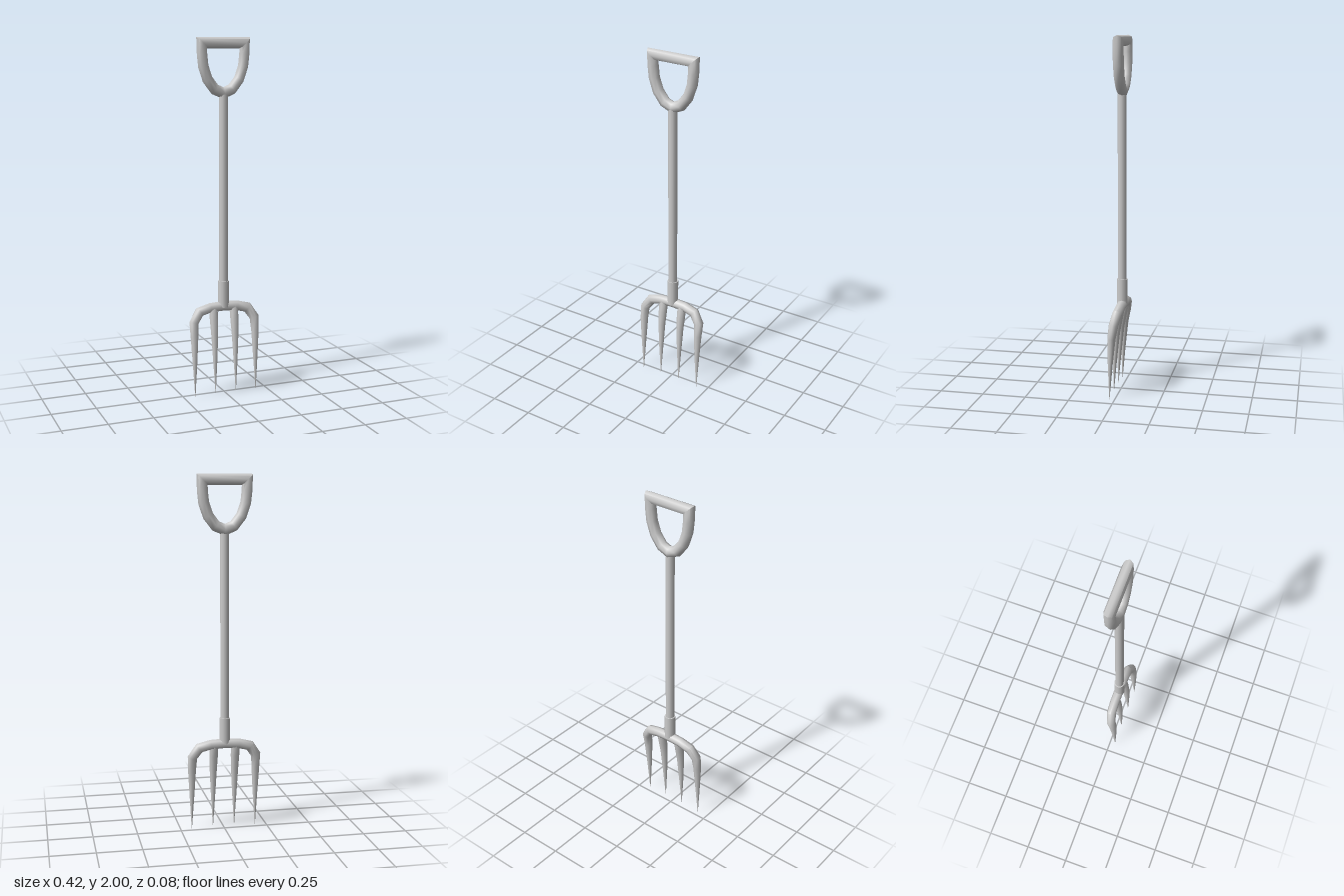
import * as THREE from 'three';
import { toCreasedNormals } from 'three/addons/utils/BufferGeometryUtils.js';

const SIDES = 8;
const material = new THREE.MeshStandardMaterial({ color: 0xcccccc });

// Mitred round sweep along stations [x, y, z, radius]
function sweep(stations, closed = false) {
  const n = stations.length;
  const pts = stations.map(([x, y, z]) => new THREE.Vector3(x, y, z));
  const dir = (a, b) => pts[b].clone().sub(pts[a]).normalize();
  const positions = [], index = [];
  for (let i = 0; i < n; i++) {
    const hasPrev = closed || i > 0, hasNext = closed || i < n - 1;
    const next = hasNext ? dir(i, (i + 1) % n) : dir(i - 1, i);
    const prev = hasPrev ? dir((i + n - 1) % n, i) : next;
    const t = prev.clone().add(next).normalize();
    const s = t.clone().cross(new THREE.Vector3(0, 0, 1)).normalize();
    const b = t.clone().cross(s);
    const mitre = 1 / t.dot(next), r = stations[i][3];
    for (let j = 0; j < SIDES; j++) {
      const a = (j / SIDES) * Math.PI * 2;
      const p = pts[i].clone()
        .addScaledVector(s, Math.cos(a) * r * mitre)
        .addScaledVector(b, Math.sin(a) * r);
      positions.push(p.x, p.y, p.z);
    }
  }
  for (let i = 0; i < (closed ? n : n - 1); i++) {
    for (let j = 0; j < SIDES; j++) {
      const k = (j + 1) % SIDES, m = (i + 1) % n;
      const a = i * SIDES + j, b = i * SIDES + k, c = m * SIDES + k, d = m * SIDES + j;
      index.push(a, b, c, a, c, d);
    }
  }
  const g = new THREE.BufferGeometry();
  g.setAttribute('position', new THREE.Float32BufferAttribute(positions, 3));
  g.setIndex(index);
  return toCreasedNormals(g, 1.0);
}

// Half path from the centre line outwards, completed by its mirror image
function mirrored(half) {
  const other = half.filter(p => p[0] > 0).map(([x, ...rest]) => [-x, ...rest]);
  return [...other.reverse(), ...half];
}

export function createModel() {
  const group = new THREE.Group();
  const add = (name, geometry) => {
    const mesh = new THREE.Mesh(geometry, material);
    mesh.name = name;
    group.add(mesh);
    return mesh;
  };

  // D-shaped grip: closed loop with sharp top corners
  const hz = -0.008, hr = 0.03;
  add('gripHandle', sweep(mirrored([
    [0, 1.7, hz, hr], [0.05, 1.721, hz, hr], [0.092, 1.775, hz, hr],
    [0.116, 1.845, hz, hr], [0.123, 1.91, hz, hr], [0.125, 1.97, hz, hr],
  ]), true));

  // Shaft and socket
  add('shaft', new THREE.CylinderGeometry(0.025, 0.025, 1.08, 12)).position.set(0, 1.16, -0.005);
  add('socket', new THREE.CylinderGeometry(0.031, 0.031, 0.15, 12)).position.set(0, 0.575, -0.006);

  // Crossbar running into the two outer tines
  add('crossbarAndOuterTines', sweep(mirrored([
    [0, 0.503, -0.008, 0.028], [0.08, 0.499, -0.008, 0.028],
    [0.145, 0.482, -0.005, 0.028], [0.183, 0.425, 0.007, 0.027],
    [0.184, 0.35, 0.018, 0.023], [0.184, 0.2, 0.025, 0.014], [0.185, 0, 0.03, 0.001],
  ])));

  // Inner tines
  for (const side of [-1, 1]) {
    const x = side * 0.062;
    add(side > 0 ? 'leftInnerTine' : 'rightInnerTine', sweep([
      [x, 0.5, -0.007, 0.026], [x, 0.43, 0.005, 0.025], [x, 0.35, 0.016, 0.021],
      [x, 0.2, 0.024, 0.013], [x, 0.01, 0.03, 0.001],
    ]));
  }
  return group;
}
